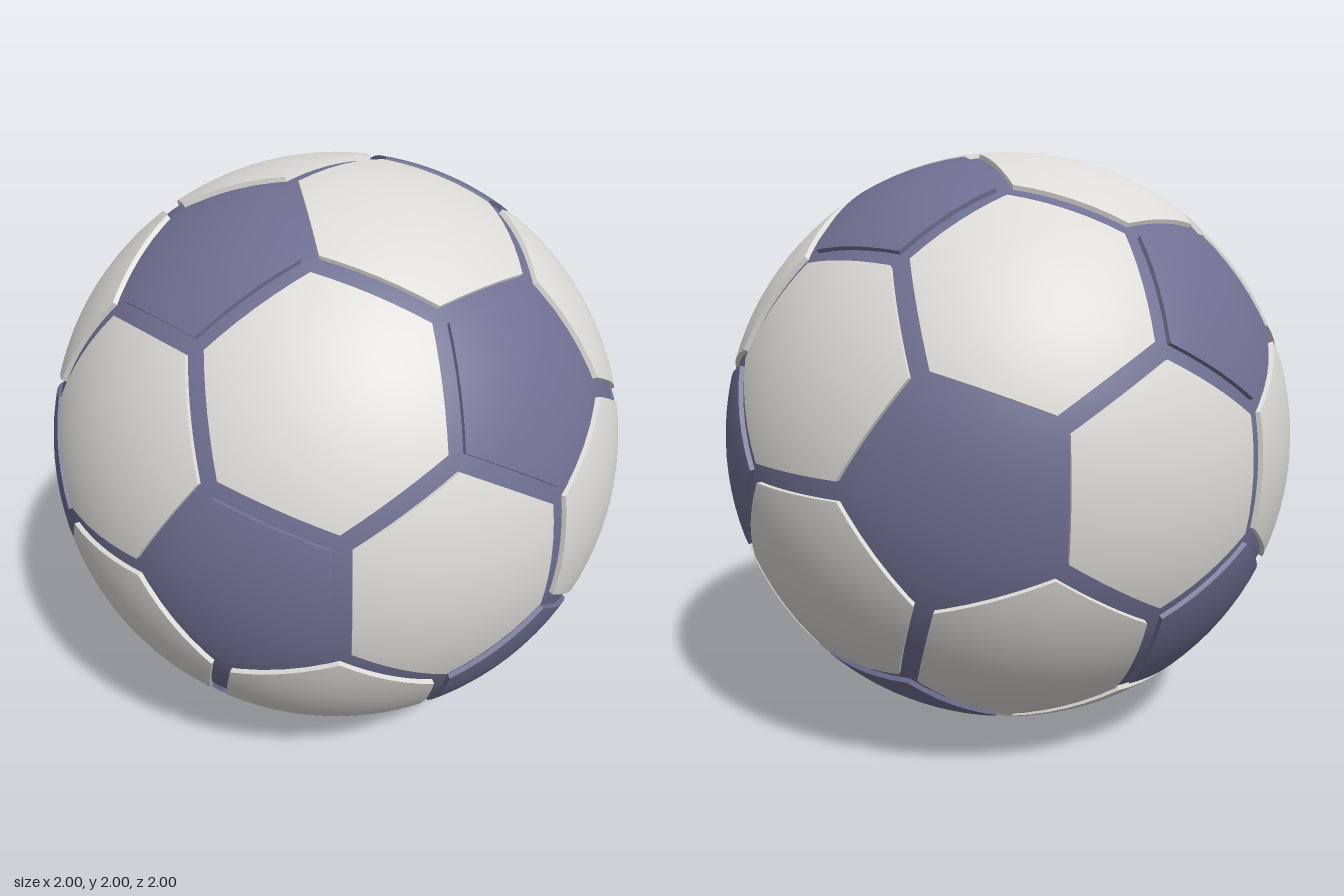
import * as THREE from 'three';

const white = new THREE.MeshStandardMaterial({ color: 0xdddbd7 });
white.name = 'panelWhite';
const blue = new THREE.MeshStandardMaterial({ color: 0x6f7092 });
blue.name = 'slateBlue';

const OUTER = 1.0, CORE = 0.984, WALL_FOOT = 0.975;
const STEPS = 6; // subdivisions from panel centre to edge

// Twelve icosahedron corners: cyclic permutations of (0, +-1, +-phi)
function icosahedronCorners() {
  const phi = (1 + Math.sqrt(5)) / 2, out = [];
  for (const a of [-1, 1]) for (const b of [-phi, phi]) {
    out.push(new THREE.Vector3(0, a, b), new THREE.Vector3(b, 0, a), new THREE.Vector3(a, b, 0));
  }
  return out;
}

// Corners of one panel, counter-clockwise seen from outside
function panelCorners(points, centre, count) {
  const n = centre.clone().normalize();
  const near = [...points].sort((p, q) => p.distanceTo(centre) - q.distanceTo(centre)).slice(0, count);
  const u = near[0].clone().projectOnPlane(n).normalize();
  const v = new THREE.Vector3().crossVectors(n, u);
  const angle = (p) => Math.atan2(p.dot(v), p.dot(u));
  return near.sort((p, q) => angle(p) - angle(q));
}

// Curved panel with a thin wall around its rim
function panelGeometry(corners, scale) {
  const centre = new THREE.Vector3();
  corners.forEach((c) => centre.addScaledVector(c, 1 / corners.length));
  const rim = corners.map((c) => centre.clone().lerp(c, scale));
  const pos = [], nor = [];
  const tri = (pts, normals) => pts.forEach((p, i) => {
    pos.push(p.x, p.y, p.z);
    nor.push(normals[i].x, normals[i].y, normals[i].z);
  });
  rim.forEach((a, k) => {
    const b = rim[(k + 1) % rim.length];
    // Point on row i, column j of this wedge, as a direction
    const dir = (i, j) => centre.clone()
      .addScaledVector(a.clone().sub(centre), (i - j) / STEPS)
      .addScaledVector(b.clone().sub(centre), j / STEPS).normalize();
    const dome = (...d) => tri(d.map((p) => p.clone().multiplyScalar(OUTER)), d);
    for (let i = 0; i < STEPS; i++) {
      for (let j = 0; j <= i; j++) {
        dome(dir(i, j), dir(i + 1, j), dir(i + 1, j + 1));
        if (j < i) dome(dir(i, j), dir(i + 1, j + 1), dir(i, j + 1));
      }
    }
    // Rim wall
    const side = b.clone().sub(a).cross(centre).normalize();
    for (let j = 0; j < STEPS; j++) {
      const p = dir(STEPS, j), q = dir(STEPS, j + 1);
      const p1 = p.clone().multiplyScalar(OUTER), q1 = q.clone().multiplyScalar(OUTER);
      const p0 = p.multiplyScalar(WALL_FOOT), q0 = q.multiplyScalar(WALL_FOOT);
      tri([p1, p0, q0], [side, side, side]);
      tri([p1, q0, q1], [side, side, side]);
    }
  });
  const g = new THREE.BufferGeometry();
  g.setAttribute('position', new THREE.Float32BufferAttribute(pos, 3));
  g.setAttribute('normal', new THREE.Float32BufferAttribute(nor, 3));
  return g;
}

export function createModel() {
  const ball = new THREE.Group();
  ball.name = 'ball';

  // Inner sphere, seen as the seams
  const core = new THREE.Mesh(new THREE.IcosahedronGeometry(CORE, 15), blue);
  core.name = 'seamCore';
  ball.add(core);

  // Truncated icosahedron: cut each edge at its thirds
  const tips = icosahedronCorners();
  const linked = (p, q) => p !== q && p.distanceTo(q) < 2.1;
  const cuts = [];
  for (const p of tips) for (const q of tips) if (linked(p, q)) cuts.push(p.clone().lerp(q, 1 / 3));

  const addPanel = (name, centre, count, scale, material) => {
    const mesh = new THREE.Mesh(panelGeometry(panelCorners(cuts, centre, count), scale), material);
    mesh.name = name;
    ball.add(mesh);
  };

  // Twelve pentagons around the tips
  tips.forEach((p) => addPanel('pentagonPanel', p, 5, 0.915, blue));

  // Twenty hexagons on the faces
  tips.forEach((p, i) => tips.forEach((q, j) => tips.forEach((r, k) => {
    if (i < j && j < k && linked(p, q) && linked(q, r) && linked(p, r)) {
      const centre = p.clone().add(q).add(r).divideScalar(3);
      addPanel('hexagonPanel', centre, 6, 0.907, white);
    }
  })));

  ball.position.y = 1;
  const model = new THREE.Group();
  model.name = 'soccerBall';
  model.add(ball);
  return model;
}
